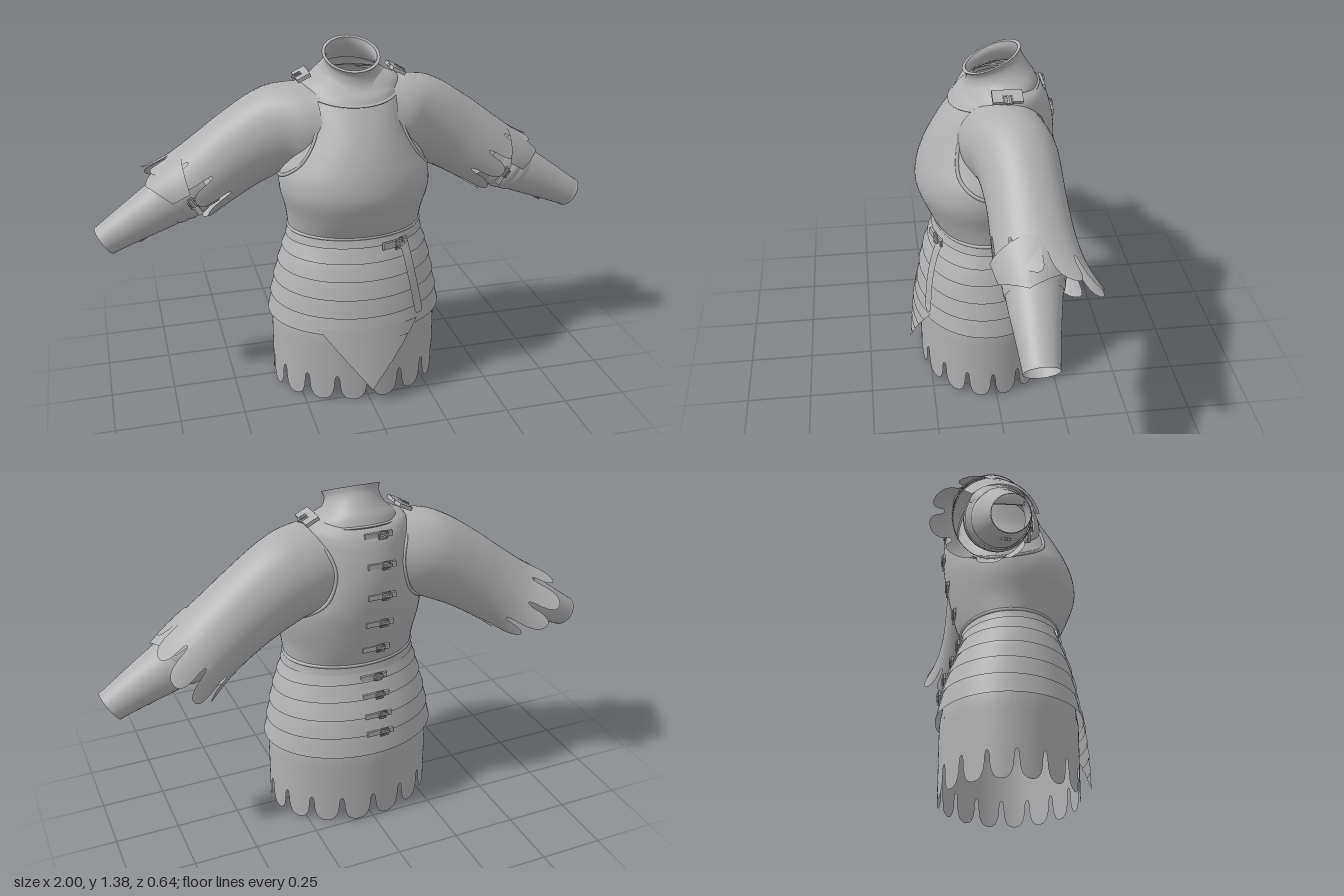
import * as THREE from 'three';

const steel = new THREE.MeshStandardMaterial({ color: 0xb0b0b0, side: THREE.DoubleSide });
steel.name = 'steel grey';

function part(parent, name, geometry) {
  const m = new THREE.Mesh(geometry, steel);
  m.name = name;
  parent.add(m);
  return m;
}

// Smooth lookup through rows of [key, ...values]
function spline(rows) {
  const f = new THREE.CubicInterpolant(rows.map(r => r[0]), rows.flatMap(r => r.slice(1)), rows[0].length - 1);
  return t => [...f.evaluate(t)];
}

// Grid surface from fn(u, v); closed surfaces share their seam for smooth normals
function surf(fn, us, nv, closed = true) {
  const pos = [], idx = [], n = us.length;
  for (let j = 0; j <= nv; j++) for (const u of us) pos.push(...fn(u, j / nv));
  for (let j = 0; j < nv; j++) for (let i = 0; i < (closed ? n : n - 1); i++) {
    const a = j * n + i, b = j * n + (i + 1) % n;
    idx.push(a, b, a + n, b, b + n, a + n);
  }
  const g = new THREE.BufferGeometry();
  g.setAttribute('position', new THREE.Float32BufferAttribute(pos, 3));
  g.setIndex(idx);
  g.computeVertexNormals();
  return g;
}
const range = (n, a, b) => Array.from({ length: n }, (_, i) => a + (b - a) * i / n);
const around = range(64, 0, Math.PI * 2);
const across = range(25, -1, 1 + 2 / 24);

// Oval body ring: half width, front z, back z
const oval = (a, [hw, zf, zb], y, grow = 0) =>
  [(hw + grow) * Math.sin(a), y, (zf + zb) / 2 + ((zf - zb) / 2 + grow) * Math.cos(a)];

// Scalloped hem: rounded tongues split by narrow slots
const tongue = [[0, 1], [.3, .97], [.55, .88], [.72, .7], [.8, .5], [.84, .2], [.91, .04], [1, 0]];
function scallops(count) {
  const cells = [...tongue.slice(1).reverse().map(([s, d]) => [-s, d]), ...tongue.slice(0, -1)];
  const angles = [], depth = new Map();
  for (let k = 0; k < count; k++) for (const [s, d] of cells) {
    const a = (k + .5 + s / 2) * Math.PI * 2 / count;
    angles.push(a);
    depth.set(a, d);
  }
  return { angles, depth };
}

const torso = spline([
  [.68, .262, .21, -.175], [.75, .27, .245, -.2], [.85, .293, .28, -.225], [.92, .288, .275, -.24],
  [1, .25, .25, -.25], [1.08, .218, .21, -.25], [1.16, .208, .155, -.235], [1.22, .2, .105, -.212],
  [1.25, .185, .075, -.185], [1.268, .14, .06, -.15], [1.275, .115, .055, -.13]]);
const hips = spline([
  [.315, .35, .298, -.265], [.395, .337, .287, -.252], [.47, .322, .275, -.235], [.54, .305, .258, -.21],
  [.6, .288, .238, -.19], [.65, .268, .218, -.175], [.69, .258, .205, -.168]]);

// Strap with a raised buckle frame, lying along x
function buckle(parent, name, x, y, z, len = .11) {
  const g = new THREE.Group();
  g.name = name;
  part(g, 'strap', new THREE.BoxGeometry(len, .02, .01));
  const frame = part(g, 'buckleFrame', new THREE.TorusGeometry(.02, .004, 6, 4));
  frame.rotation.z = Math.PI / 4;
  frame.position.set(.015, 0, .007);
  part(g, 'buckleTongue', new THREE.BoxGeometry(.035, .008, .012)).position.set(.02, 0, .005);
  g.position.set(x, y, z);
  parent.add(g);
  return g;
}

const sleeve = spline([ // t: centre x, y, z, radius up, radius z, slope
  [0, .14, 1.075, -.035, .168, .165, .08], [.12, .21, 1.07, -.05, .172, .166, .15],
  [.25, .28, 1.06, -.07, .17, .153, .28], [.5, .42, .985, -.085, .155, .142, .55],
  [.75, .54, .905, -.092, .146, .146, .6], [1, .64, .835, -.105, .145, .16, .6],
  [1.3, .755, .76, -.135, .16, .195, .6]]);
const forearm = spline([
  [0, .57, .88, -.085, .11, .11, .55], [.2, .66, .832, -.078, .106, .106, .55],
  [.4, .74, .788, -.07, .096, .096, .56], [.7, .86, .724, -.064, .077, .077, .57],
  [1, .967, .665, -.06, .06, .062, .57]]);
function armPoint(shape, a, t, grow = 0) {
  const [x, y, z, ry, rz, s] = shape(t), h = (ry + grow) * Math.cos(a);
  return [x + h * Math.sin(s), y + h * Math.cos(s), z + (rz + grow) * Math.sin(a)];
}

function buildArm(side) {
  const arm = new THREE.Group();
  arm.name = side + 'Arm';
  // Mail sleeve, longer at the back and cut into tongues
  const hem = scallops(9);
  part(arm, 'sleeve', surf((a, v) => {
    const end = .86 - .13 * Math.sin(a) + .06 * Math.cos(a) + .25 * hem.depth.get(a);
    return armPoint(sleeve, a, v * end);
  }, hem.angles, 36));
  part(arm, 'vambrace', surf((a, v) => armPoint(forearm, a, v), around, 24));
  // Overlapping elbow bands and wrist rim
  [[.1, .2, .008], [.18, .28, .01], [.26, .36, .006], [.975, 1, .002]].forEach(([t0, t1, g]) =>
    part(arm, 'armBand', surf((a, v) => armPoint(forearm, a, t0 + (t1 - t0) * v, g * (.4 + .6 * Math.sin(Math.PI * v))), around, 6)));
  // Elbow cop under a flared plate wrapping its outer side
  const cop = part(arm, 'elbowCop', new THREE.SphereGeometry(.1, 28, 12, 0, Math.PI * 2, 0, Math.PI / 2));
  cop.scale.set(.75, .65, .95);
  cop.position.set(.7, .865, -.085);
  cop.rotation.z = -.55;
  part(arm, 'elbowWing', surf((u, v) => {
    const t0 = .02 + .1 * Math.abs(u), t1 = .4 - .12 * Math.abs(u);
    return armPoint(forearm, .25 + u * 1.15, t0 + (t1 - t0) * v, .014 + .022 * (1 - v) + .008 * u * u);
  }, across, 6, false));
  // Forearm buckles
  const low = buckle(arm, 'forearmBuckle', .81, .672, -.065, .05);
  low.rotation.set(Math.PI / 2, -.55, 0);
  const inner = buckle(arm, 'elbowBuckle', .62, .81, .035, .08);
  inner.rotation.z = 1;
  // Rolled rim of the armhole on the breastplate
  const rim = [[1.235, -.04], [1.17, .065], [1.1, .115], [1.04, .132], [.97, .128], [.92, .075], [.895, -.02],
    [.91, -.12], [.97, -.185], [1.04, -.2], [1.11, -.195], [1.18, -.16]].map(([y, z]) => {
    const [hw, zf, zb] = torso(y), q = (z - (zf + zb) / 2) / ((zf - zb) / 2);
    return new THREE.Vector3(hw * Math.sqrt(Math.max(0, 1 - q * q)), y, z);
  });
  part(arm, 'armholeRim', new THREE.TubeGeometry(new THREE.CatmullRomCurve3(rim, true), 80, .007, 8, true));
  // Shoulder strap
  const strap = buckle(arm, 'shoulderStrap', .185, 1.268, -.05, .06);
  strap.rotation.set(-Math.PI / 2, .45, 0, 'ZXY');
  part(strap, 'strapPlate', new THREE.BoxGeometry(.055, .11, .014));
  if (side === 'right') arm.scale.x = -1;
  return arm;
}

export function createModel() {
  const model = new THREE.Group();
  model.name = 'armour';

  part(model, 'cuirass', surf((a, v) => {
    const y = .68 + .595 * v;
    return oval(a, torso(y), y);
  }, around, 44));
  part(model, 'waistRim', surf((a, v) => oval(a, torso(.68), .675 + .018 * v, .007 * Math.sin(Math.PI * v)), around, 6));

  // Gorget and collar, tilting more toward the top, with an inner wall
  const collar = spline([ // half width, front z, back z, height, tilt
    [0, .18, .145, -.19, 1.213, .2], [.2, .165, .125, -.176, 1.242, .24], [.4, .13, .097, -.155, 1.266, .32],
    [.6, .11, .082, -.138, 1.29, .39], [.8, .101, .078, -.124, 1.32, .42], [1, .108, .09, -.12, 1.345, .42]]);
  const collarAt = (a, v, grow) => {
    const [hw, zf, zb, y, tilt] = collar(v), p = oval(a, [hw, zf, zb], y, grow);
    p[1] -= tilt * (p[2] + .015);
    return p;
  };
  part(model, 'gorget', surf((a, v) => collarAt(a, v, 0), around, 20));
  part(model, 'collarLining', surf((a, v) => collarAt(a, .3 + .7 * v, -.008), around, 12));
  part(model, 'collarRim', surf((a, v) => collarAt(a, 1, -.004 + .006 * Math.cos(Math.PI * v)), around, 2));
  part(model, 'gorgetRim', surf((a, v) => collarAt(a, .06 * v, .006 * Math.sin(Math.PI * v)), around, 5));

  // Belt and overlapping skirt lames, slightly higher at the back
  part(model, 'belt', surf((a, v) => {
    const y = .648 + .034 * v;
    return oval(a, hips(y), y, .005);
  }, around, 2));
  const levels = [.69, .6, .535, .465, .393, .318];
  for (let i = 0; i < 5; i++) part(model, 'fauldLame', surf((a, v) => {
    const y = levels[i] + .012 + (levels[i + 1] - levels[i] - .012) * v;
    const p = oval(a, hips(y), y, -.006 + .008 * v);
    p[1] -= (i === 4 ? .02 + .03 * (1 - v) : .05) * p[2];
    return p;
  }, around, 4));

  // Mail skirt with a scalloped hem
  const hem = scallops(16);
  part(model, 'mailSkirt', surf((a, v) => {
    const low = .115 - .108 * hem.depth.get(a), y = .5 + (low - .5) * v, inset = .03 * Math.max(0, (y - .3) / .2);
    return oval(a, [.335, .28, -.25], y, -inset);
  }, hem.angles, 12));

  // Pointed front plate of five overlapping strips
  for (let i = 0; i < 5; i++) part(model, 'frontTasset', surf((u, v) => {
    const y = .335 - .052 * (i + v * 1.02), x = u * .2 * Math.max(0, (y - .073) / .262);
    return [x, y, .01 + .288 * Math.sqrt(1 - (x / .36) ** 2) + .005 * i + .01 * v];
  }, across, 2, false));

  // Hanging belt end and its buckle
  const onHips = (x, y, out) => {
    const [hw, zf, zb] = hips(y);
    return (zf + zb) / 2 + ((zf - zb) / 2 + out) * Math.sqrt(1 - (x / (hw + out)) ** 2);
  };
  part(model, 'beltEnd', surf((u, v) => {
    const y = .67 - .31 * v, x = .15 + .055 * v + u * .018 * (v > .97 ? .6 : 1);
    return [x, y, onHips(x, y, .02)];
  }, range(5, -1, 1.5), 20, false));
  const beltBuckle = buckle(model, 'beltBuckle', .115, .648, onHips(.115, .65, .014), .11);
  beltBuckle.rotation.y = .3;
  beltBuckle.scale.set(1, 1.4, 1);

  // Closing straps down the spine
  for (const y of [1.225, 1.12, 1, .88, .76]) buckle(model, 'backStrap', -.025, y, torso(y)[2]).rotation.y = Math.PI;
  for (const y of [.625, .555, .48, .41]) buckle(model, 'fauldStrap', -.025, y, hips(y)[2] - .003).rotation.y = Math.PI;

  model.add(buildArm('left'), buildArm('right'));
  return model;
}
